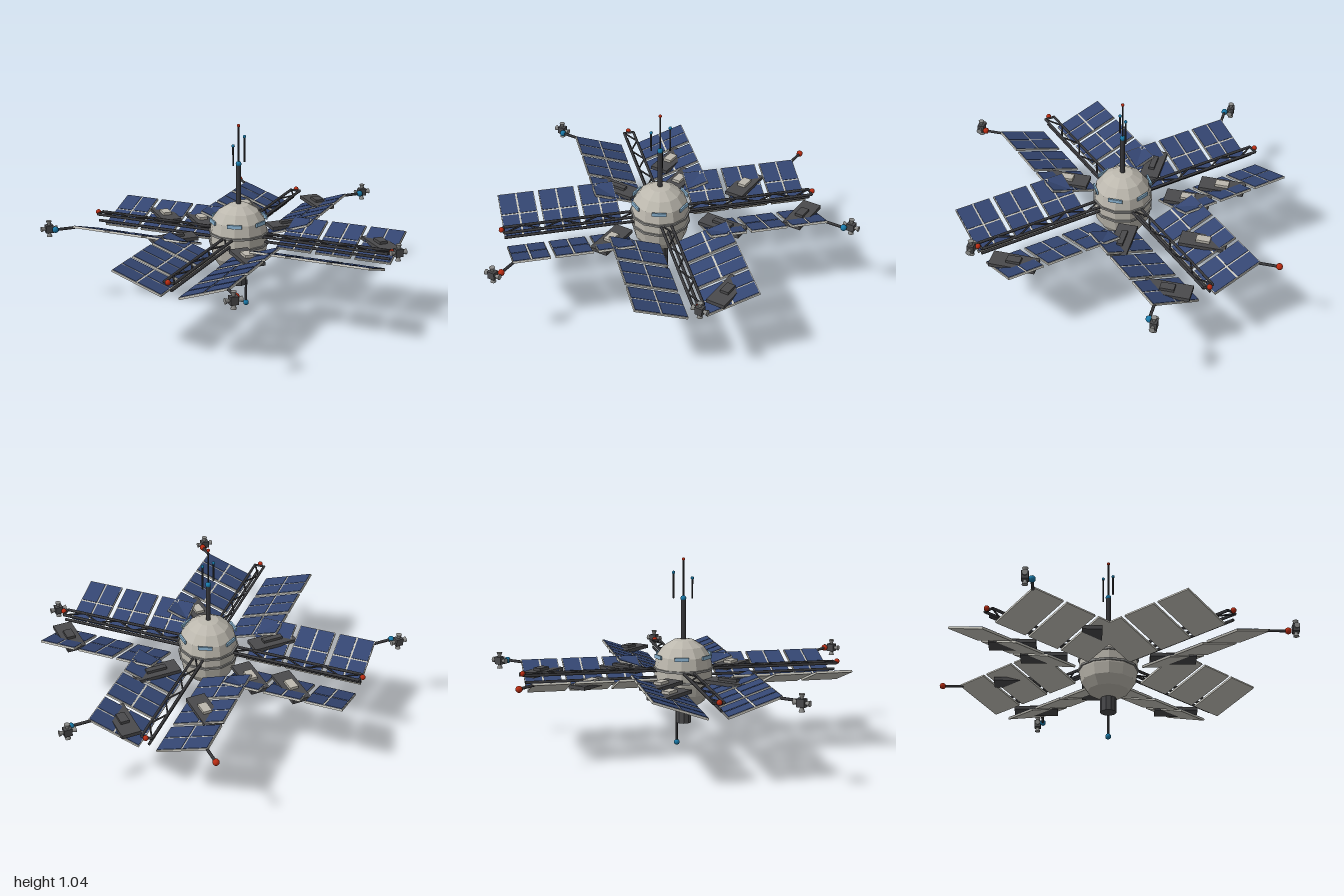
import * as THREE from 'three';

const mat = (name, color) => {
  const m = new THREE.MeshStandardMaterial({ color });
  m.name = name;
  return m;
};
const M = {
  hull: mat('warm grey hull', 0xbcb8ae),
  dark: mat('dark metal', 0x39393c),
  plate: mat('charcoal equipment', 0x4a4a4c),
  panel: mat('pale panel frame', 0xc8c6bd),
  cell: mat('solar blue', 0x344672),
  glass: mat('window blue', 0x8ab4d2),
  red: mat('red beacon', 0xb92c12),
  blue: mat('blue beacon', 0x1878a8),
  nozzle: mat('nozzle grey', 0x8c8c8a),
};

function add(parent, name, geo, material, x = 0, y = 0, z = 0) {
  const m = new THREE.Mesh(geo, material);
  m.name = name;
  m.position.set(x, y, z);
  parent.add(m);
  return m;
}
const box = (p, name, material, w, h, d, x, y, z) =>
  add(p, name, new THREE.BoxGeometry(w, h, d), material, x, y, z);
const ball = (p, name, material, r, x, y, z) =>
  add(p, name, new THREE.SphereGeometry(r, 10, 8), material, x, y, z);

function faceted(geo) {
  const g = geo.toNonIndexed();
  g.computeVertexNormals();
  return g;
}

// Straight rod between two points
function rod(p, name, material, a, b, r, sides = 6) {
  const A = new THREE.Vector3(...a), B = new THREE.Vector3(...b);
  const dir = B.clone().sub(A);
  const m = add(p, name, new THREE.CylinderGeometry(r, r, dir.length(), sides), material);
  m.position.copy(A).add(B).multiplyScalar(0.5);
  m.quaternion.setFromUnitVectors(new THREE.Vector3(0, 1, 0), dir.normalize());
}

function buildBody() {
  const g = new THREE.Group();
  g.name = 'body';
  const profile = [[0, 0.21], [0.045, 0.215], [0.112, 0.255], [0.146, 0.305], [0.157, 0.365],
    [0.157, 0.45], [0.146, 0.51], [0.11, 0.56], [0.056, 0.593], [0, 0.6]]
    .map(([x, y]) => new THREE.Vector2(x, y));
  add(g, 'hull', faceted(new THREE.LatheGeometry(profile, 12)), M.hull);
  for (const y of [0.38, 0.44])
    add(g, 'hullBand', faceted(new THREE.CylinderGeometry(0.165, 0.165, 0.012, 12)), M.nozzle, 0, y, 0);
  // Ring of six windows
  for (let i = 0; i < 6; i++) {
    const pivot = new THREE.Group();
    pivot.name = 'windowMount';
    pivot.rotation.y = Math.PI / 2 + i * Math.PI / 3;
    box(pivot, 'window', M.glass, 0.078, 0.02, 0.009, 0, 0.51, 0.151);
    g.add(pivot);
  }
  // Mast and whip antennas
  rod(g, 'mast', M.dark, [0, 0.59, 0], [0, 0.82, 0], 0.014, 8);
  ball(g, 'mastBeacon', M.blue, 0.016, 0, 0.82, 0);
  rod(g, 'antenna', M.dark, [0, 0.82, 0], [0, 1.03, 0], 0.005);
  ball(g, 'antennaTip', M.red, 0.009, 0, 1.032, 0);
  for (const [x, z, top] of [[-0.041, 0.025, 0.93], [0.045, -0.028, 0.96]]) {
    rod(g, 'antenna', M.dark, [x, 0.82, z], [x, top, z], 0.005);
    ball(g, 'antennaTip', M.blue, 0.009, x, top, z);
  }
  // Docking collar and lower probe
  add(g, 'dockingCollar', faceted(new THREE.CylinderGeometry(0.044, 0.044, 0.08, 10)), M.plate, 0, 0.175, 0);
  rod(g, 'probe', M.dark, [0.044, 0.15, 0], [0.044, 0.02, 0], 0.007);
  ball(g, 'probeTip', M.blue, 0.016, 0.044, 0.016, 0);
  return g;
}

// Tilted solar panel with a two by two grid of cells
function buildPanel() {
  const L = 0.2, W = 0.291, g = new THREE.Group();
  g.name = 'solarPanel';
  box(g, 'panelFrame', M.panel, L, 0.011, W, 0, 0.0015, 0);
  for (const i of [-1, 1]) for (const j of [-1, 1])
    box(g, 'solarCell', M.cell, L / 2 - 0.009, 0.003, W / 2 - 0.009,
      i * (L / 4 + 0.0005), 0.008, j * (W / 4 + 0.0005));
  return g;
}

// Truss arm along +x with three panels on each side
function buildArm() {
  const g = new THREE.Group();
  g.name = 'solarArm';
  const tilt = Math.atan2(0.095, 0.275);
  for (const s of [-1, 1]) for (let i = 0; i < 3; i++) {
    const p = buildPanel();
    p.position.set(0.303 + i * 0.225, 0.4, s * 0.186);
    p.rotation.x = -s * tilt;
    g.add(p);
  }
  const rails = [[0.435, -0.028], [0.435, 0.028], [0.395, -0.012]];
  for (const [y, z] of rails) rod(g, 'trussRail', M.dark, [0.13, y, z], [0.86, y, z], 0.008);
  // Zigzag braces between the upper rails
  const n = 7, step = 0.73 / n;
  for (let i = 0; i < n; i++) {
    const s = i % 2 ? -1 : 1;
    rod(g, 'trussBrace', M.dark, [0.13 + i * step, 0.435, s * 0.028],
      [0.13 + (i + 1) * step, 0.435, -s * 0.028], 0.005, 5);
  }
  rod(g, 'trussEnd', M.dark, [0.86, 0.435, -0.03], [0.86, 0.435, 0.03], 0.007);
  ball(g, 'armBeacon', M.red, 0.015, 0.872, 0.44, 0);
  return g;
}

// Four-way thruster block
function buildThruster(x, y, z) {
  const g = new THREE.Group();
  g.name = 'thruster';
  g.position.set(x, y, z);
  box(g, 'thrusterBlock', M.plate, 0.042, 0.042, 0.036, 0, 0, 0);
  for (let i = 0; i < 4; i++) {
    const pivot = new THREE.Group();
    pivot.name = 'nozzleMount';
    pivot.rotation.z = i * Math.PI / 2;
    add(pivot, 'nozzle', new THREE.CylinderGeometry(0.016, 0.007, 0.026, 8), M.nozzle, 0, 0.032, 0);
    g.add(pivot);
  }
  return g;
}

// Level equipment tray cutting through a tilted panel
function buildEquipment(x, z, w, d, boxMaterial) {
  const g = new THREE.Group();
  g.name = 'equipment';
  g.position.set(x, 0.412, z);
  box(g, 'tray', M.plate, w, 0.02, d, 0, 0, 0);
  box(g, 'equipmentBox', boxMaterial, w * 0.45, 0.016, d * 0.3, 0, 0.017, 0);
  return g;
}

export function createModel() {
  const root = new THREE.Group();
  root.name = 'spaceStation';
  const station = new THREE.Group();
  station.name = 'station';
  station.position.z = -0.02;
  root.add(station);
  station.add(buildBody());

  for (let i = 0; i < 4; i++) {
    const arm = buildArm();
    arm.rotation.y = Math.PI / 4 + i * Math.PI / 2;
    station.add(arm);
  }

  // Corner booms with beacons
  const y = 0.443;
  for (const [x0, z0, x1, z1, m] of [
    [0.82, -0.38, 0.925, -0.38, M.blue], [-0.82, -0.38, -0.928, -0.38, M.blue],
    [0.375, -0.81, 0.375, -0.93, M.red], [-0.378, 0.81, -0.378, 0.924, M.red]]) {
    rod(station, 'boom', M.dark, [x0, y, z0], [x1, y, z1], 0.008);
    ball(station, 'boomBeacon', m, 0.018, x1, y, z1);
  }
  for (const [x, z] of [[0.955, -0.412], [-0.955, -0.412], [-0.405, 0.96], [0.64, 0.645]])
    station.add(buildThruster(x, y, z));

  for (const [x, z, w, d, m] of [
    [-0.25, -0.505, 0.105, 0.25, M.hull], [-0.09, -0.345, 0.105, 0.25, M.hull],
    [0.245, -0.505, 0.105, 0.25, M.hull], [0.66, -0.41, 0.105, 0.25, M.plate],
    [-0.345, -0.09, 0.25, 0.105, M.plate], [0.345, -0.09, 0.25, 0.105, M.plate],
    [-0.09, 0.345, 0.105, 0.25, M.hull], [0.66, 0.405, 0.105, 0.25, M.plate]])
    station.add(buildEquipment(x, z, w, d, m));
  return root;
}
